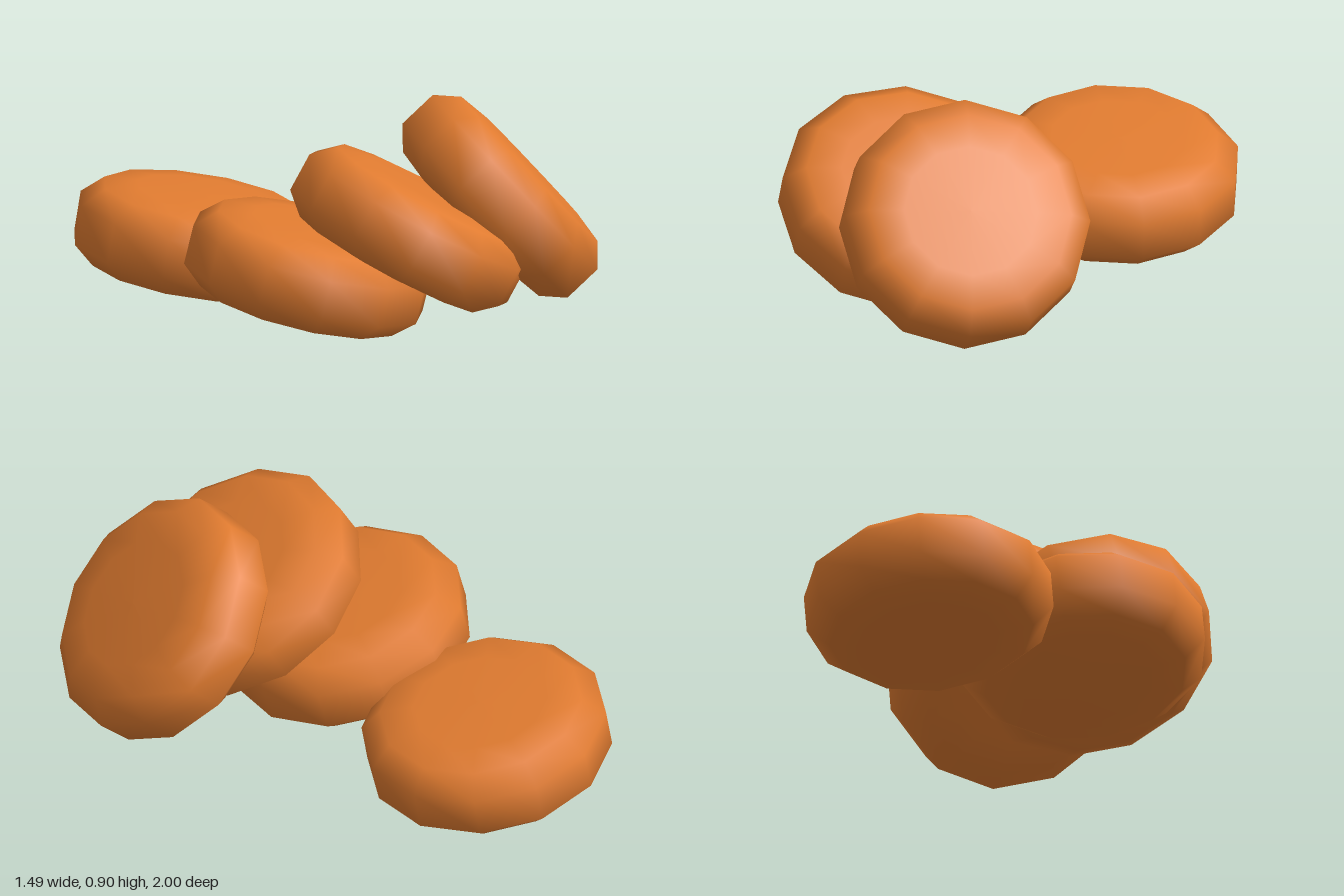
import * as THREE from 'three';

// Four thick rounded discs, leaning on one another in a toppled row
const DISCS = [
  { name: 'backDisc', center: [-0.23, 0.212, -0.545], axis: [0.15, 0.98, 0.06], turn: 8 },
  { name: 'secondDisc', center: [-0.3, 0.28, 0.225], axis: [0.21, 0.97, 0.11], turn: 1 },
  { name: 'thirdDisc', center: [-0.065, 0.46, 0.527], axis: [0.46, 0.87, 0.18], turn: -3 },
  { name: 'frontDisc', center: [0.35, 0.513, 0.542], axis: [0.68, 0.66, 0.3], turn: 0 },
];

// Upper half of the rounded rim, from the rim edge to the middle of the face
const HALF_PROFILE = [[0.458, 0.075], [0.378, 0.147], [0.25, 0.163], [0, 0.166]];

function discGeometry() {
  const upper = HALF_PROFILE.map(([r, y]) => new THREE.Vector2(r, y));
  const lower = HALF_PROFILE.map(([r, y]) => new THREE.Vector2(r, -y)).reverse();
  return new THREE.LatheGeometry([...lower, ...upper], 12);
}

export function createModel() {
  const group = new THREE.Group();
  group.name = 'toppledDiscs';
  const orange = new THREE.MeshStandardMaterial({ color: 0xe07b30 });
  orange.name = 'orange';
  const geometry = discGeometry();
  const up = new THREE.Vector3(0, 1, 0);

  for (const { name, center, axis, turn } of DISCS) {
    const disc = new THREE.Mesh(geometry, orange);
    disc.name = name;
    disc.position.set(...center);
    // lean the disc, after turning it about its own axis
    disc.quaternion.setFromUnitVectors(up, new THREE.Vector3(...axis).normalize());
    disc.rotateY(THREE.MathUtils.degToRad(turn));
    group.add(disc);
  }
  return group;
}
